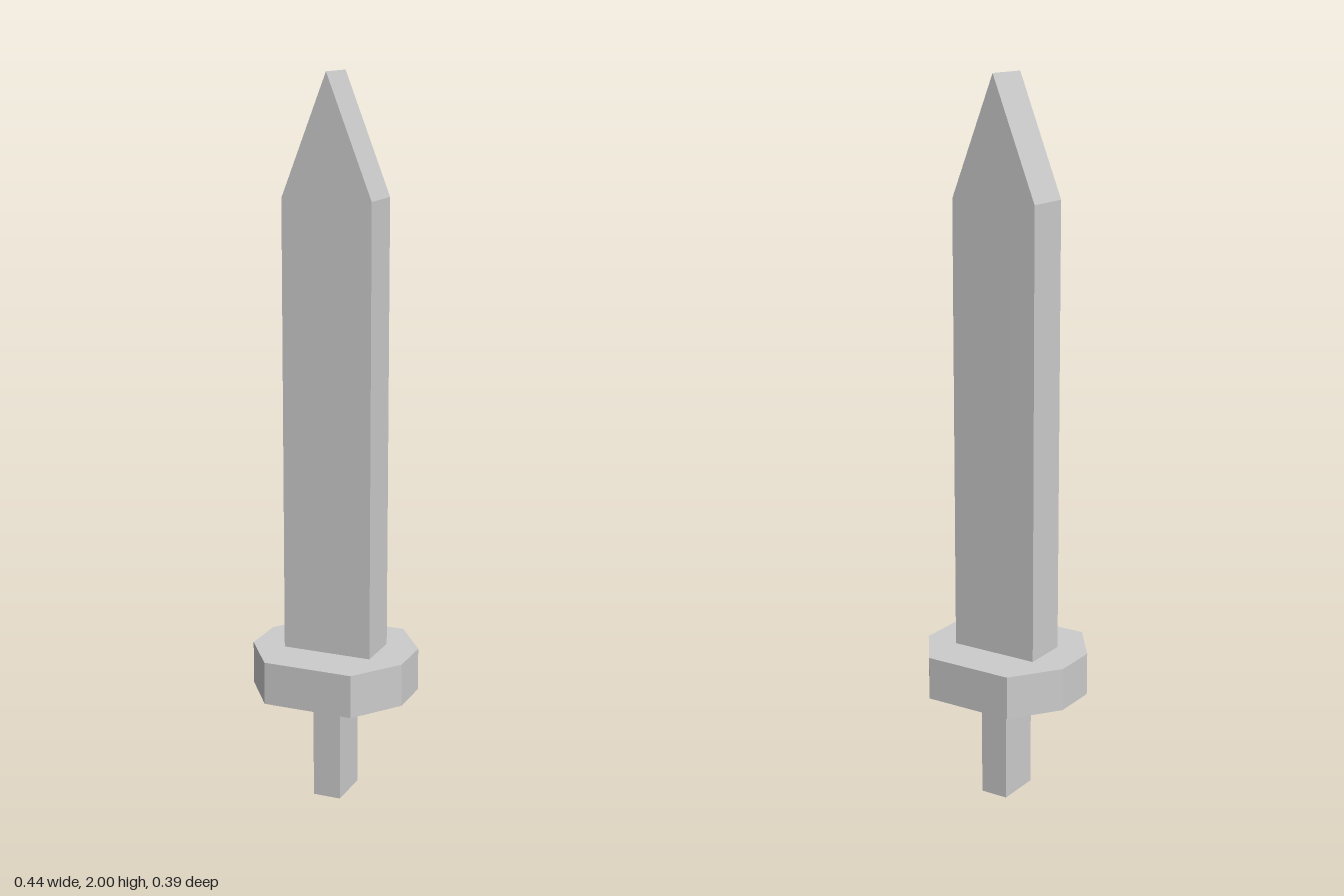
import * as THREE from 'three';

const material = new THREE.MeshStandardMaterial({ color: 0xcccccc, flatShading: true });

// Flat outline pushed to a depth, centred on its own thickness
function slab(points, depth) {
  const shape = new THREE.Shape(points.map(([x, y]) => new THREE.Vector2(x, y)));
  const geometry = new THREE.ExtrudeGeometry(shape, { depth, bevelEnabled: false });
  return geometry.translate(0, 0, -depth / 2);
}

export function createModel() {
  const model = new THREE.Group();
  model.name = 'sword';

  const add = (name, geometry) => {
    const mesh = new THREE.Mesh(geometry, material);
    mesh.name = name;
    model.add(mesh);
    return mesh;
  };

  const bladeHalf = 0.127, thickness = 0.13;
  const guardBottom = 0.31, guardTop = 0.43;

  // Blade with a chisel-shaped point
  add('blade', slab([
    [-bladeHalf, guardTop], [bladeHalf, guardTop], [bladeHalf, 1.675],
    [0, 2], [-bladeHalf, 1.675],
  ], thickness)).position.z = -0.002;

  // Eight-sided guard lying flat
  const gx = 0.222, gz = 0.197, sideZ = thickness / 2;
  const guard = slab([
    [gx, -sideZ], [gx, sideZ], [bladeHalf, gz], [-bladeHalf, gz],
    [-gx, sideZ], [-gx, -sideZ], [-bladeHalf, -gz], [bladeHalf, -gz],
  ], guardTop - guardBottom);
  guard.rotateX(-Math.PI / 2);
  add('guard', guard).position.y = (guardBottom + guardTop) / 2;

  // Square-cut handle
  add('handle', new THREE.BoxGeometry(0.08, guardBottom, thickness))
    .position.set(0, guardBottom / 2, -0.002);

  return model;
}
